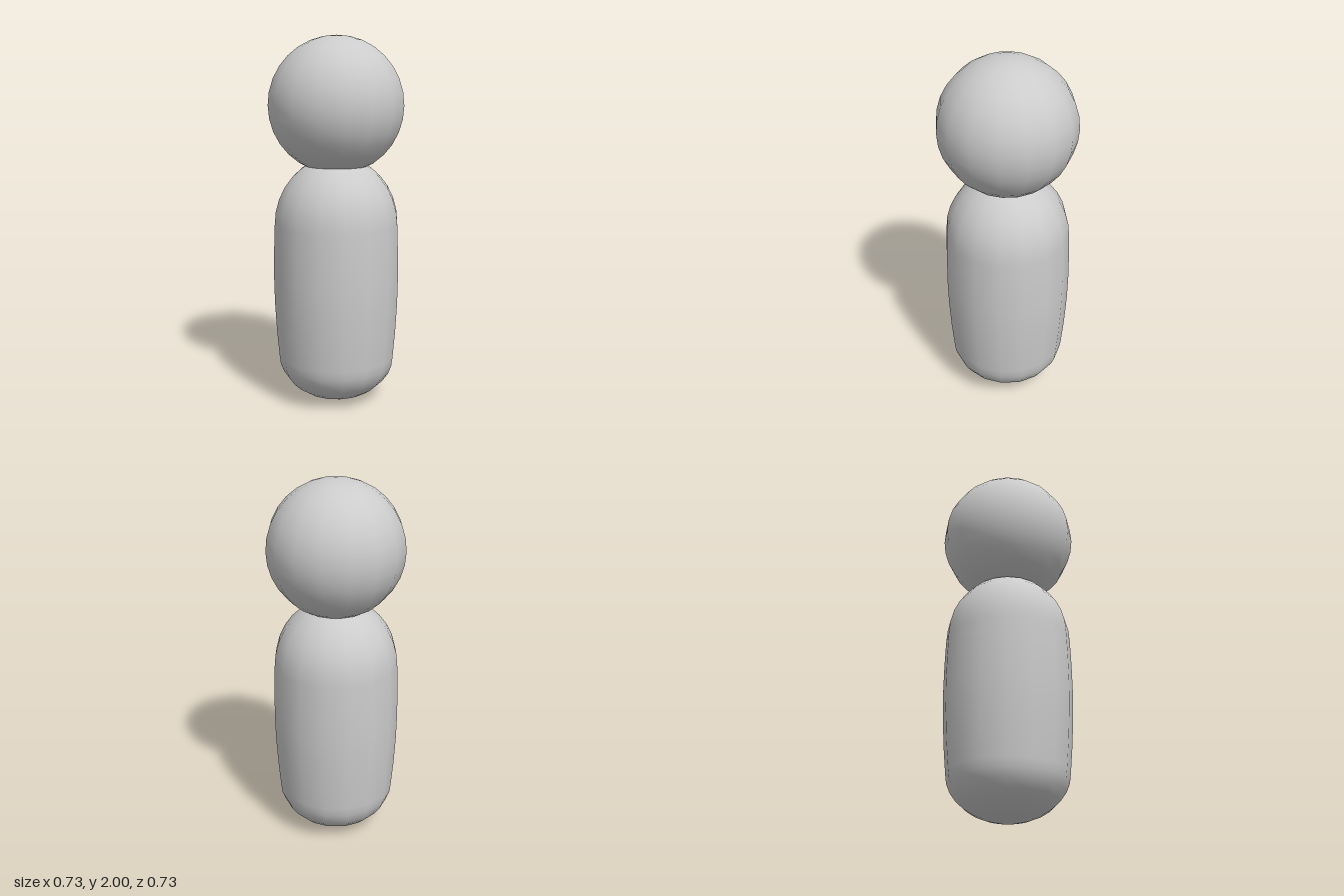
import * as THREE from 'three';

export function createModel() {
  const group = new THREE.Group();
  const material = new THREE.MeshStandardMaterial({ color: 0xcccccc });
  const segments = 16;

  // Round head
  const radius = 0.367;
  const head = new THREE.Mesh(new THREE.SphereGeometry(radius, segments, 16), material);
  head.name = 'head';
  head.position.y = 2 - radius;
  group.add(head);

  // Capsule body: elliptical caps joined by a slightly bulging side
  const profile = [];
  const addCap = (r, y, height, from, to) => {
    for (let i = 0; i <= 8; i++) {
      const a = from + (to - from) * i / 8;
      profile.push(new THREE.Vector2(Math.max(0, r * Math.cos(a)), y + height * Math.sin(a)));
    }
  };
  addCap(0.32, 0.25, 0.245, -Math.PI / 2, 0);
  for (const [r, y] of [[0.333, 0.4], [0.342, 0.56], [0.345, 0.7], [0.343, 0.85]]) {
    profile.push(new THREE.Vector2(r, y));
  }
  addCap(0.338, 0.99, 0.37, 0, Math.PI / 2);
  const body = new THREE.Mesh(new THREE.LatheGeometry(profile, segments), material);
  body.name = 'body';
  group.add(body);

  return group;
}
